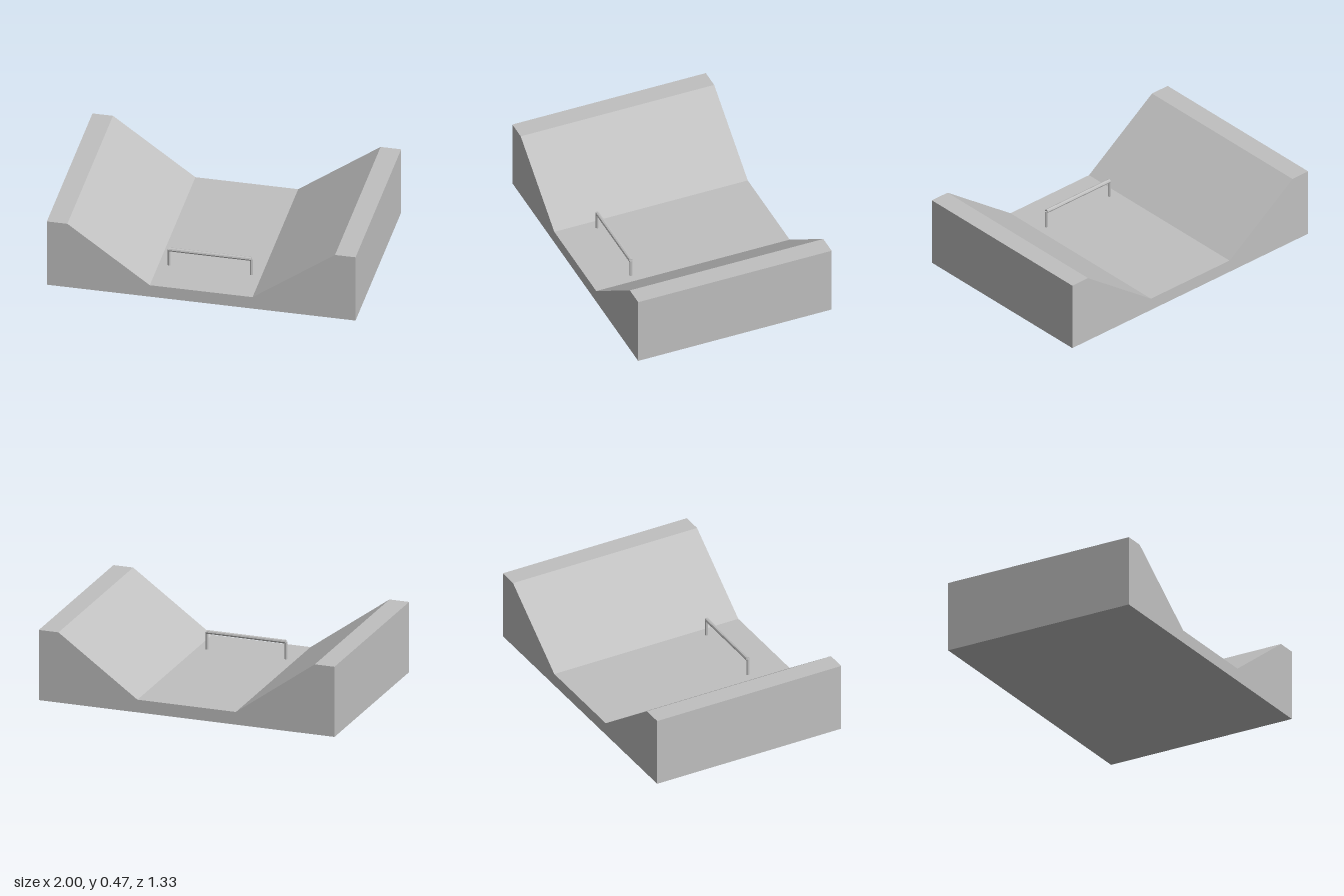
import * as THREE from 'three';

export function createModel() {
  const model = new THREE.Group();
  const concrete = new THREE.MeshStandardMaterial({ name: 'concrete grey', color: 0xc0c0c0, flatShading: true });

  const add = (name, geometry, x, y, z) => {
    const mesh = new THREE.Mesh(geometry, concrete);
    mesh.name = name;
    mesh.position.set(x, y, z);
    model.add(mesh);
    return mesh;
  };

  // Floor with a sloped bank and flat deck on each side, extruded along z
  const depth = 1.334, floorY = 0.085, deckY = 0.47;
  const profile = new THREE.Shape([
    [-1, 0], [1, 0], [1, deckY], [0.867, deckY], [0.333, floorY],
    [-0.333, floorY], [-0.867, deckY], [-1, deckY],
  ].map(([x, y]) => new THREE.Vector2(x, y)));
  add('ramps', new THREE.ExtrudeGeometry(profile, { depth, bevelEnabled: false }), 0, 0, -depth / 2);

  // Grind rail on two posts near the front
  const railY = 0.2, railZ = 0.4, halfLength = 0.267;
  const rail = add('grindRail', new THREE.CylinderGeometry(0.0133, 0.0133, halfLength * 2, 8), 0, railY, railZ);
  rail.rotation.z = Math.PI / 2;
  const postHeight = railY - floorY + 0.005;
  for (const [name, side] of [['leftRailPost', 1], ['rightRailPost', -1]]) {
    add(name, new THREE.CylinderGeometry(0.01, 0.01, postHeight, 8), side * halfLength, railY - postHeight / 2, railZ);
  }

  return model;
}
